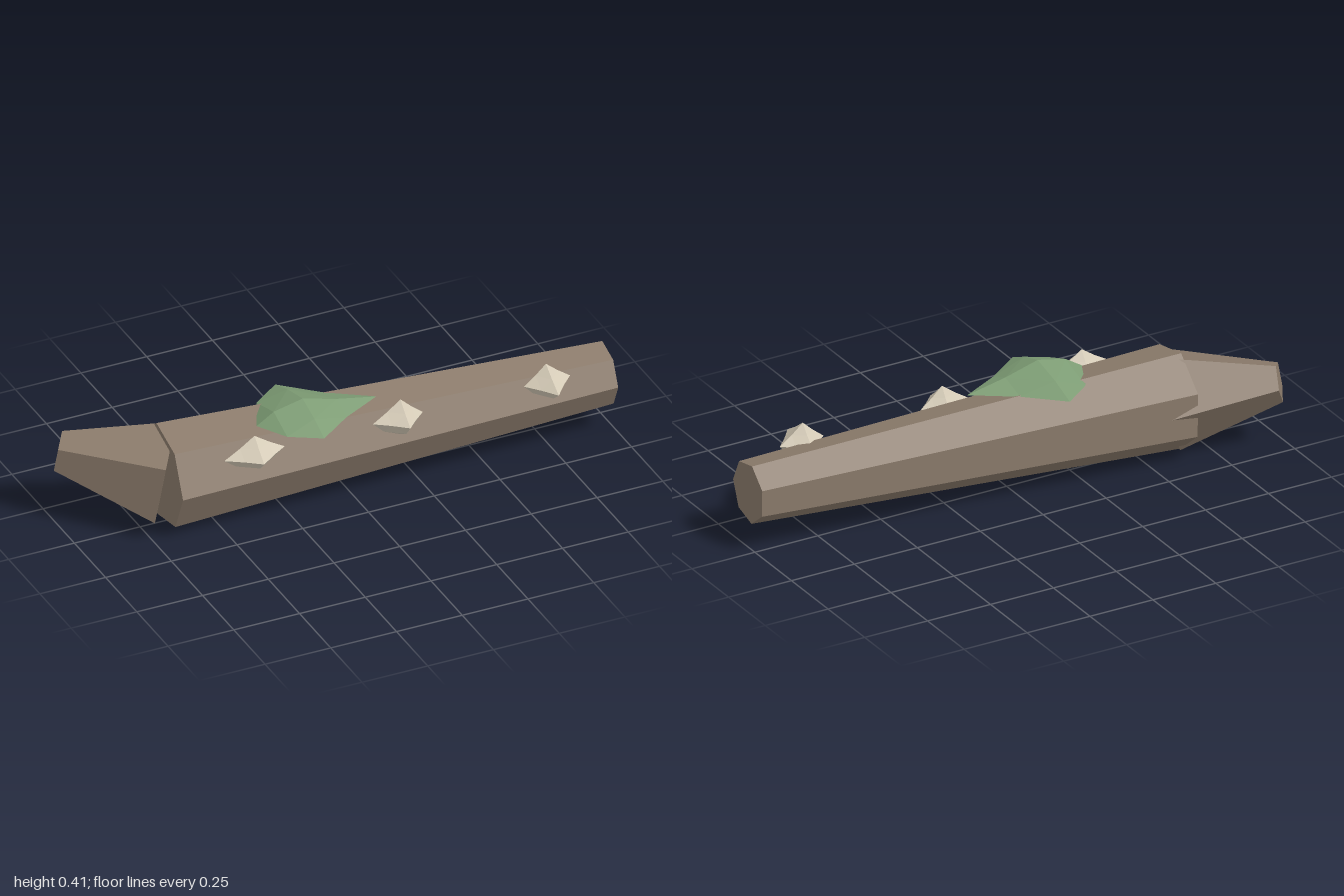
import * as THREE from 'three';

const mat = (color) => new THREE.MeshStandardMaterial({ color, flatShading: true });

// Tapered prism from point a to point b; its first corner points along "toward"
function taperedLog(name, a, b, rA, rB, sides, toward, material) {
  const start = new THREE.Vector3(...a), end = new THREE.Vector3(...b);
  const axis = end.clone().sub(start);
  const geo = new THREE.CylinderGeometry(rB, rA, axis.length(), sides);
  axis.normalize();
  const u = new THREE.Vector3(...toward);
  u.addScaledVector(axis, -u.dot(axis)).normalize();
  const side = new THREE.Vector3().crossVectors(axis, u);
  geo.applyMatrix4(new THREE.Matrix4().makeBasis(side, axis, u));
  const mesh = new THREE.Mesh(geo, material);
  mesh.name = name;
  mesh.position.copy(start).add(end).multiplyScalar(0.5);
  return mesh;
}

// Faceted growth: subdivided octahedron with its own reach [minus, plus] on each axis;
// the edge midpoints are pulled in by the factor that mid(x, y, z) returns
function growth(name, centre, x, y, z, mid, material) {
  const geo = new THREE.OctahedronGeometry(1, 1);
  const p = geo.attributes.position;
  const reach = (v, [minus, plus]) => v * (v < 0 ? minus : plus);
  for (let i = 0; i < p.count; i++) {
    const v = new THREE.Vector3().fromBufferAttribute(p, i);
    const isTip = Math.max(Math.abs(v.x), Math.abs(v.y), Math.abs(v.z)) > 0.9;
    if (!isTip) v.multiplyScalar(mid(v.x, v.y, v.z) * Math.SQRT2);
    p.setXYZ(i, reach(v.x, x), reach(v.y, y), reach(v.z, z));
  }
  geo.computeVertexNormals();
  const mesh = new THREE.Mesh(geo, material);
  mesh.name = name;
  mesh.position.set(...centre);
  return mesh;
}

export function createModel() {
  const model = new THREE.Group();
  model.name = 'fallenLog';
  const bark = mat(0x8b7b6b), pale = mat(0xd6ccb8), moss = mat(0x7d9c74);

  // Seven-sided trunk and the five-sided bent stub at its thick end
  model.add(taperedLog('trunk', [-0.663, 0.185, -0.01], [0.99, 0.203, 0.062],
    0.188, 0.113, 7, [0, 0, 1], bark));
  model.add(taperedLog('bentStub', [-0.65, 0.185, -0.009], [-0.966, 0.25, -0.204],
    0.188, 0.0736, 5, [0.563, 0, -0.826], bark));

  // Moss patch on top
  model.add(growth('mossPatch', [-0.17, 0.345, 0.08], [0.175, 0.28], [0.05, 0.065], [0.22, 0.173],
    (x) => (x < -0.1 ? 0.63 : x > 0.1 ? 0.46 : 0.55), moss));

  // Row of small pale fungi along the front
  const fungusMid = (x, y) => (y < -0.1 ? 0.6 : 0.48);
  [
    [[-0.39, 0.289, 0.158], [0.115, 0.115], [0.056, 0.072], [0.053, 0.079]],
    [[0.165, 0.289, 0.158], [0.105, 0.085], [0.067, 0.073], [0.05, 0.08]],
    [[0.718, 0.289, 0.158], [0.083, 0.092], [0.058, 0.071], [0.063, 0.104]],
  ].forEach(([c, x, y, z], i) => model.add(growth(`fungus${i + 1}`, c, x, y, z, fungusMid, pale)));

  return model;
}
